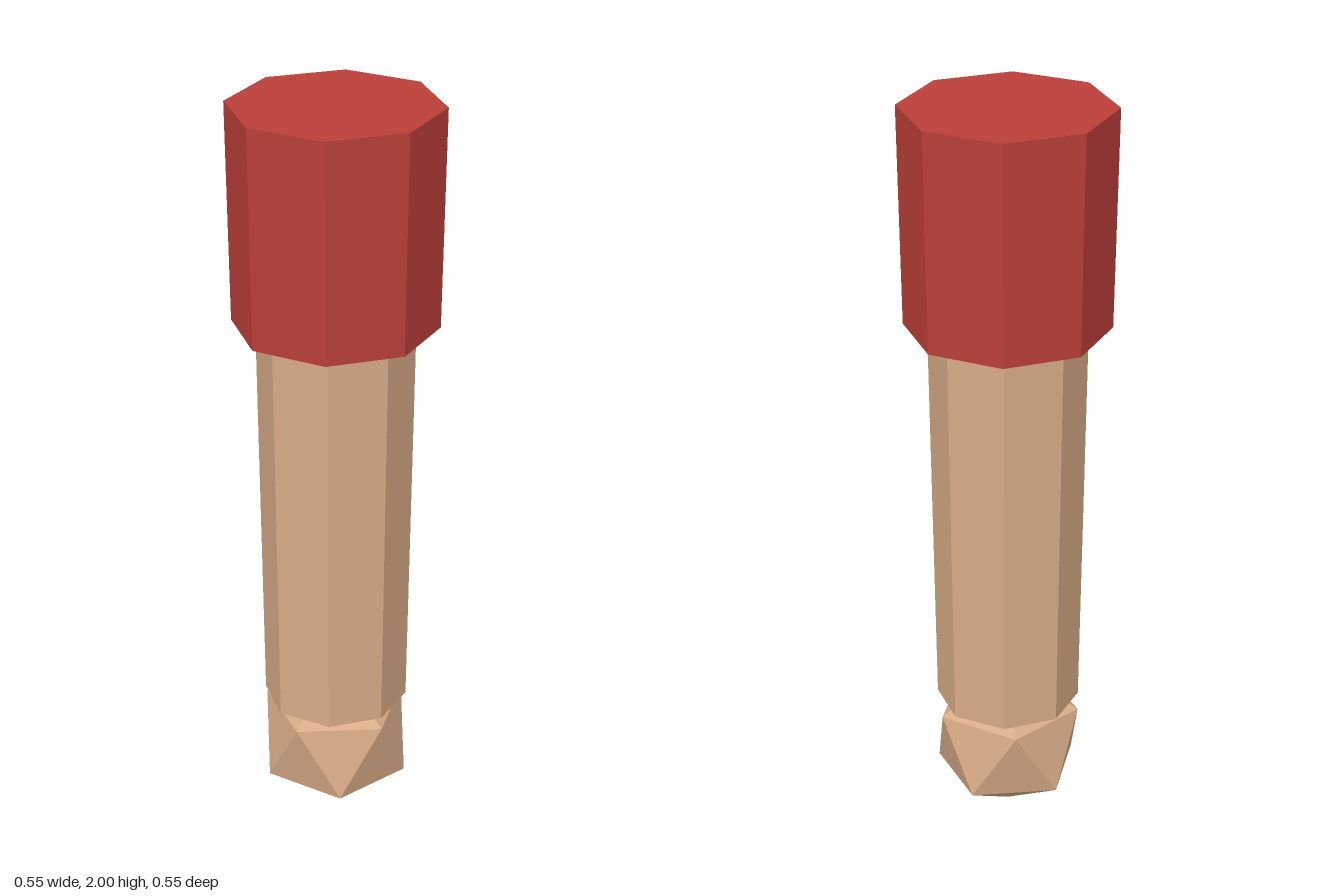
import * as THREE from 'three';

export function createModel() {
  const model = new THREE.Group();
  model.name = 'arm';

  const sleeveRed = new THREE.MeshStandardMaterial({ color: 0xbc3f39, flatShading: true });
  sleeveRed.name = 'sleeve red';
  const skin = new THREE.MeshStandardMaterial({ color: 0xd8ab87, flatShading: true });
  skin.name = 'skin';

  const add = (name, geometry, material, y) => {
    const mesh = new THREE.Mesh(geometry, material);
    mesh.name = name;
    mesh.position.y = y;
    model.add(mesh);
  };

  // Tapered eight-sided segment standing between two heights
  const segment = (name, rTop, rBottom, y0, y1, material) =>
    add(name, new THREE.CylinderGeometry(rTop, rBottom, y1 - y0, 8), material, (y0 + y1) / 2);

  segment('sleeve', 0.273, 0.265, 1.425, 2, sleeveRed);
  segment('forearm', 0.204, 0.19, 0.345, 1.43, skin);

  // Fist: icosahedron turned so that one corner points straight down
  const radius = 0.2155;
  const fist = new THREE.IcosahedronGeometry(radius, 0);
  fist.rotateZ(-Math.atan(2 / (1 + Math.sqrt(5))));
  add('hand', fist, skin, radius);

  return model;
}
